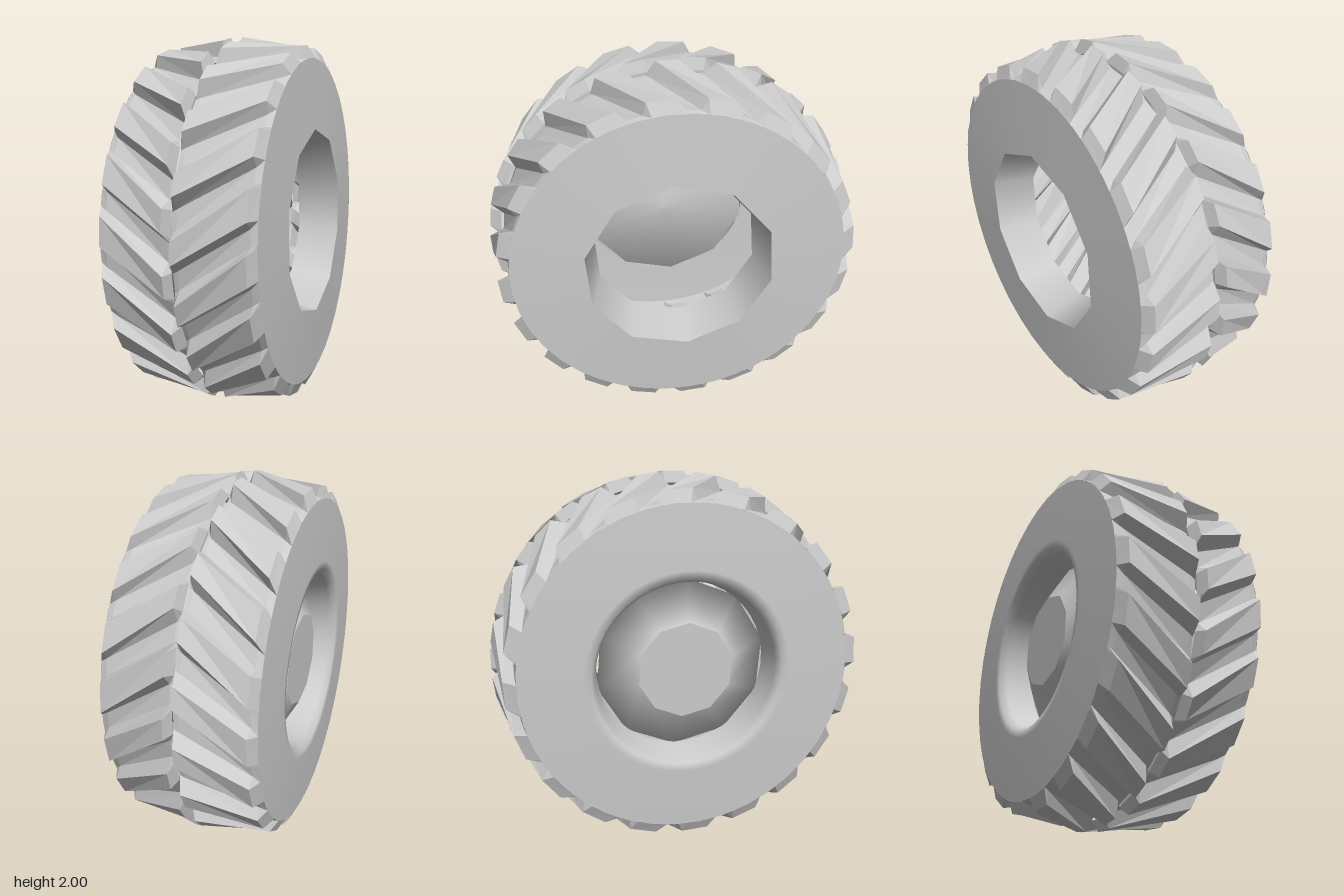
import * as THREE from 'three';

const RAD = Math.PI / 180;
const LUGS = 20;
const PITCH = 360 / LUGS;
const SLOPE = 15; // degrees each lug sweeps from centre to shoulder

const flat = new THREE.MeshStandardMaterial({ color: 0xcccccc, flatShading: true, side: THREE.DoubleSide });
const smooth = new THREE.MeshStandardMaterial({ color: 0xcccccc, side: THREE.DoubleSide });

function add(group, name, geometry, material) {
  const mesh = new THREE.Mesh(geometry, material);
  mesh.name = name;
  group.add(mesh);
}

// Revolve a [radius, x] profile around the x axle
function revolve(profile, sides) {
  const points = profile.map(([r, x]) => new THREE.Vector2(r, x));
  return new THREE.LatheGeometry(points, sides, -13.5 * RAD).rotateZ(-Math.PI / 2);
}

// Half of the tread: slanted bars and the floors between them as one skin
function treadGeometry(side, phase) {
  // x, top radius, floor radius, half width at top, half width at floor (degrees)
  const sections = [
    [0.0, 0.94, 0.925, 4.0, 6.0],
    [0.022, 1.0, 0.925, 3.2, 6.0],
    [0.37, 0.95, 0.89, 4.4, 6.2],
    [0.403, 0.884, 0.882, 5.0, 6.2],
  ];
  const pos = [];
  for (const [x, top, floor, ht, hb] of sections) {
    for (let i = 0; i < LUGS; i++) {
      const mid = phase + i * PITCH + (SLOPE * x) / 0.38;
      for (const [r, a] of [[floor, mid - hb], [top, mid - ht], [top, mid + ht], [floor, mid + hb]]) {
        pos.push(side * x, r * Math.sin(a * RAD), r * Math.cos(a * RAD));
      }
    }
  }
  const n = LUGS * 4;
  const index = [];
  const tri = (a, b, c) => (side > 0 ? index.push(a, b, c) : index.push(a, c, b));
  for (let s = 0; s < sections.length - 1; s++) {
    for (let i = 0; i < n; i++) {
      const a = s * n + i;
      const b = s * n + ((i + 1) % n);
      tri(a, a + n, b + n);
      tri(a, b + n, b);
    }
  }
  const geometry = new THREE.BufferGeometry();
  geometry.setAttribute('position', new THREE.Float32BufferAttribute(pos, 3));
  geometry.setIndex(index);
  const out = geometry.toNonIndexed();
  out.computeVertexNormals();
  return out;
}

// Slightly dished side face, round outside and ten-sided at the opening
function sidewallGeometry() {
  const sides = 40;
  const geometry = revolve([[0.885, 0.403], [0.51, 0.425]], sides);
  const p = geometry.attributes.position;
  for (let i = 1; i < p.count; i += 2) {
    const step = (((i - 1) / 2) % (sides / 10)) * (360 / sides);
    const k = Math.cos(18 * RAD) / Math.cos((step - 18) * RAD);
    p.setY(i, p.getY(i) * k);
    p.setZ(i, p.getZ(i) * k);
  }
  return geometry;
}

export function createModel() {
  const model = new THREE.Group();
  model.name = 'tractorTyre';
  const wheel = new THREE.Group();
  wheel.name = 'wheel';
  wheel.position.y = 1;
  model.add(wheel);

  // Two half-pitch staggered rows of bars forming the chevrons
  add(wheel, 'leftTread', treadGeometry(1, -2), flat);
  add(wheel, 'rightTread', treadGeometry(-1, 6.5), flat);

  // Left side: face with a crisp tapered opening
  add(wheel, 'leftSidewall', sidewallGeometry(), smooth);
  add(wheel, 'leftRim', revolve([[0.51, 0.425], [0.45, 0.2]], 10), smooth);

  // Right side: face rolling softly into the opening
  add(wheel, 'rightSidewall',
    revolve([[0.46, -0.23], [0.485, -0.38], [0.51, -0.418], [0.55, -0.423], [0.885, -0.403]], 40), smooth);

  // Hub: a flat outer disc on a flaring cone, closed on the inside
  add(wheel, 'hubDisc', revolve([[0, -0.35], [0.26, -0.35]], 10), flat);
  add(wheel, 'hub', revolve([[0.26, -0.35], [0.47, -0.23], [0, -0.19]], 10), smooth);

  return model;
}
